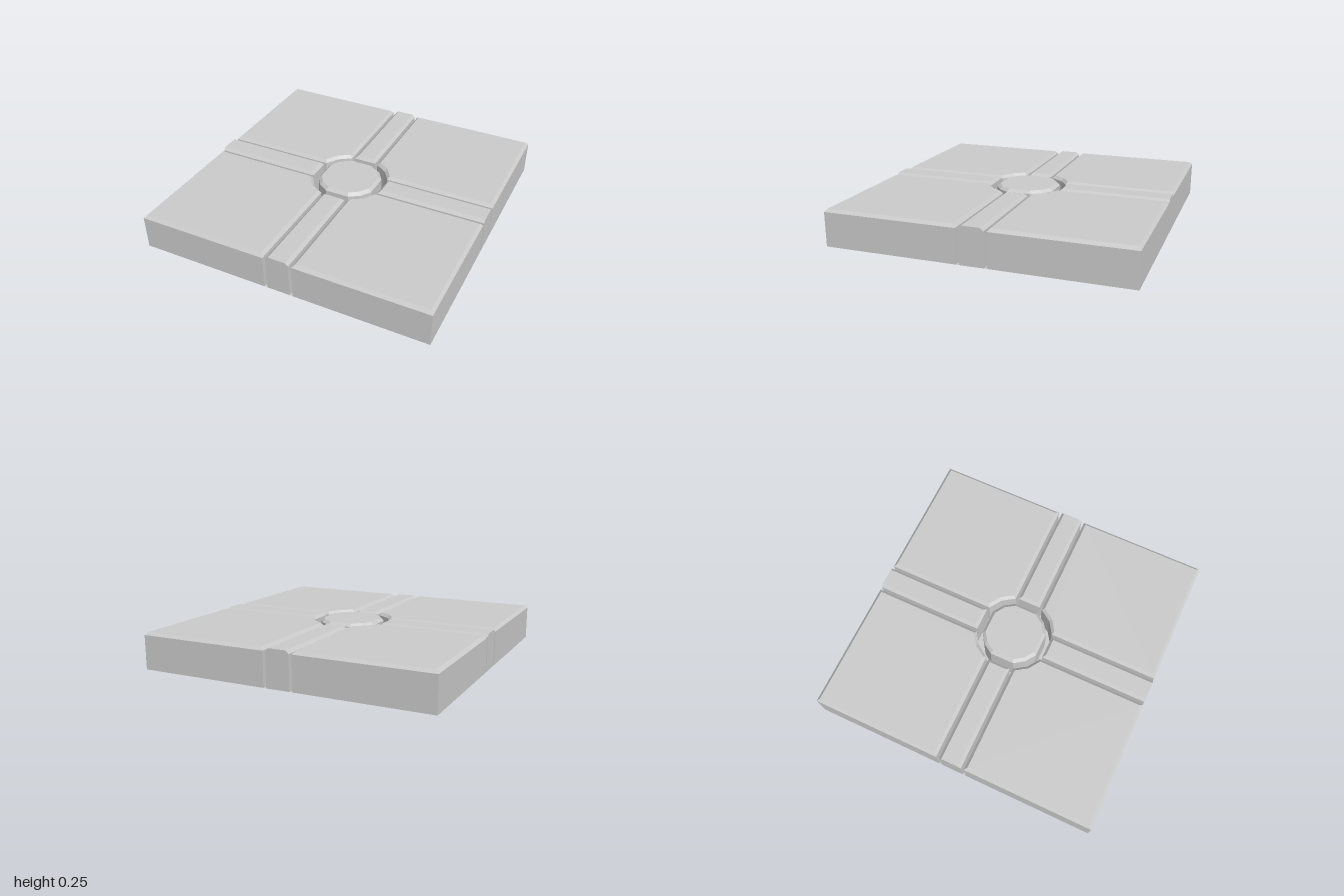
import * as THREE from 'three';

const H = 0.25, BEVEL_Y = 0.23;
const material = new THREE.MeshStandardMaterial({
  color: 0xcccccc, flatShading: true, side: THREE.DoubleSide,
});

// Flat polygon of [x, z] points at height y, facing up
function capTriangles(points, y, out) {
  const v = points.map(([x, z]) => new THREE.Vector2(x, z));
  for (const [a, b, c] of THREE.ShapeUtils.triangulateShape(v, [])) {
    const t = [v[a], v[b], v[c]];
    if (THREE.ShapeUtils.area(t) > 0) t.reverse();
    for (const p of t) out.push(p.x, y, p.y);
  }
}

// Band between two matching loops, listed counter-clockwise from above
function bandTriangles(lower, y0, upper, y1, out) {
  lower.forEach((a, i) => {
    const j = (i + 1) % lower.length;
    const b = lower[j], A = upper[i], B = upper[j];
    out.push(a[0], y0, a[1], b[0], y0, b[1], B[0], y1, B[1]);
    out.push(a[0], y0, a[1], B[0], y1, B[1], A[0], y1, A[1]);
  });
}

function toGeometry(positions) {
  const g = new THREE.BufferGeometry();
  g.setAttribute('position', new THREE.Float32BufferAttribute(positions, 3));
  g.computeVertexNormals();
  return g;
}

// Hollow block, open underneath: walls, bevel and top
function shell(outer, inner) {
  const out = [];
  bandTriangles(outer, 0, outer, BEVEL_Y, out);
  bandTriangles(outer, BEVEL_Y, inner, H, out);
  capTriangles(inner, H, out);
  return toGeometry(out);
}

// Twelve-sided loop with wider sides facing the four channels
function discLoop(r) {
  const loop = [];
  for (let i = 0; i < 16; i++) {
    if (i % 4 === 0) continue;
    const a = -i * Math.PI / 8;
    loop.push([r * Math.cos(a), r * Math.sin(a)]);
  }
  return loop;
}

export function createModel() {
  const group = new THREE.Group();
  const add = (geometry, name, turn = 0) => {
    const mesh = new THREE.Mesh(geometry, material);
    mesh.name = name;
    mesh.rotation.y = turn * Math.PI / 2;
    group.add(mesh);
  };

  // Corner slab with a notch around the disc
  const slab = shell(
    [[0.1, 0.24], [0.1, 1], [1, 1], [1, 0.1], [0.24, 0.1], [0.184, 0.184]],
    [[0.12, 0.25], [0.12, 0.98], [0.98, 0.98], [0.98, 0.12], [0.25, 0.12], [0.198, 0.198]],
  );

  // Strip between slabs, running square to the outer edge
  const strip = shell(
    [[-0.08, 0.248], [-0.08, 1], [0.08, 1], [0.08, 0.248]],
    [[-0.06, 0.268], [-0.06, 1], [0.06, 1], [0.06, 0.268]],
  );

  // Groove floor for one quarter
  const floorPositions = [];
  capTriangles([
    [0.08, 1], [0.1, 1], [0.1, 0.24], [0.184, 0.184], [0.24, 0.1], [1, 0.1],
    [1, 0.08], [0.248, 0.08], [0.248, 0], [0.203, 0], [0.203, 0.084],
    [0.156, 0.156], [0.084, 0.203], [0, 0.203], [0, 0.248], [0.08, 0.248],
  ], 0, floorPositions);
  const floor = toGeometry(floorPositions);

  for (let i = 0; i < 4; i++) {
    add(slab, 'cornerSlab', i);
    add(strip, 'strip', i);
    add(floor, 'grooveFloor', i);
  }

  // Centre disc
  add(shell(discLoop(0.22), discLoop(0.198)), 'centreDisc');
  return group;
}
